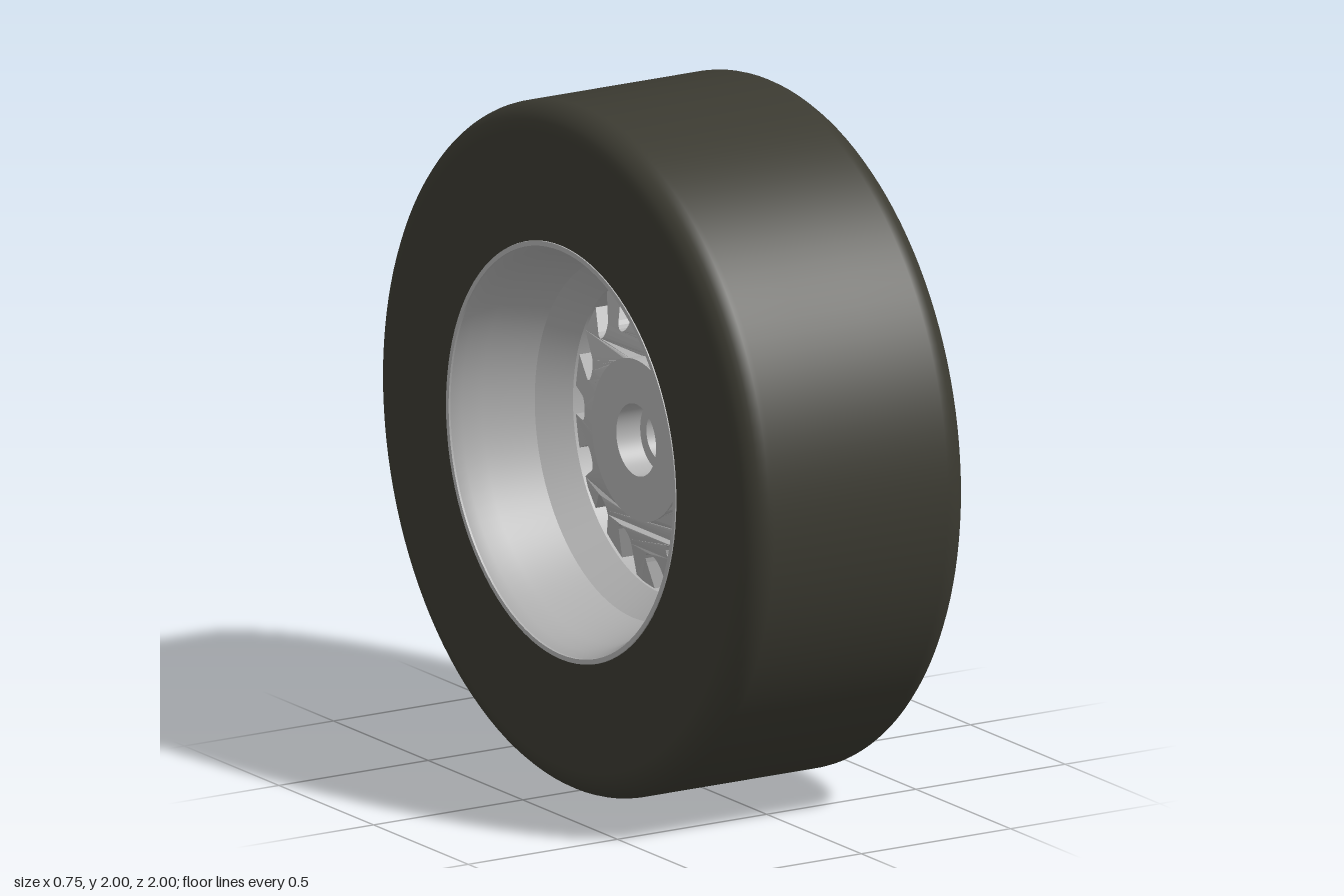
import * as THREE from 'three';

const mat = (name, color) => new THREE.MeshStandardMaterial({ name, color });

export function createModel() {
  const rubber = mat('tyreRubber', 0x3b3a31);
  const alloy = mat('silverAlloy', 0xb2b2b2);
  const black = mat('blackRubber', 0x24241f);
  const root = new THREE.Group();
  root.name = 'wheel';

  // Everything is built around local z (the axle); z becomes world x at the end.
  const wheel = new THREE.Group();
  wheel.name = 'wheelAssembly';
  wheel.rotation.y = Math.PI / 2;
  wheel.position.y = 1;
  root.add(wheel);

  const add = (name, geo, material, parent = wheel) => {
    const mesh = new THREE.Mesh(geo, material);
    mesh.name = name;
    parent.add(mesh);
    return mesh;
  };
  // Closed profile of [radius, axial] corners, counter-clockwise seen with radius to the right
  const lathe = (pts, segs = 96) =>
    new THREE.LatheGeometry(pts.map(([r, z]) => new THREE.Vector2(r, z)), segs).rotateX(Math.PI / 2);
  // Each straight piece gets its own lathe so that its edges stay crisp
  const crispLathe = (name, pts, material) => {
    const group = new THREE.Group();
    group.name = name;
    wheel.add(group);
    for (let i = 0; i < pts.length - 1; i++) add(name + 'Face', lathe([pts[i], pts[i + 1]]), material, group);
  };

  // Tyre: flat side walls with rounded shoulders
  const tyre = [[0.6, -0.37], [0.75, -0.37], [0.92, -0.37]];
  const arc = (sign) => {
    const out = [];
    for (let i = 0; i <= 8; i++) {
      const a = (i / 8) * Math.PI / 2;
      out.push([0.92 + 0.08 * Math.sin(a), sign * (0.29 + 0.08 * Math.cos(a))]);
    }
    return out;
  };
  tyre.push(...arc(-1).slice(1), [1, -0.1], [1, 0.1], ...arc(1).reverse(), [0.75, 0.37], [0.6, 0.37]);
  add('tyre', lathe(tyre, 128), rubber);

  // Rim: lips, dished barrel on both sides and the ring that carries the spokes
  crispLathe('rimLip', [[0.59, 0.365], [0.592, 0.373], [0.606, 0.373], [0.608, 0.366]].reverse(), alloy);
  crispLathe('rearRimLip', [[0.608, -0.366], [0.606, -0.373], [0.592, -0.373], [0.59, -0.365]].reverse(), alloy);
  add('frontBarrel', lathe([[0.592, 0.37], [0.572, 0.34], [0.545, 0.28], [0.53, 0.22], [0.518, 0.15]]), alloy);
  crispLathe('spokeRing', [[0.518, 0.15], [0.46, 0.135], [0.46, -0.04], [0.52, -0.13]], alloy);
  add('rearBarrel', lathe([[0.52, -0.13], [0.54, -0.2], [0.56, -0.28], [0.575, -0.34], [0.592, -0.37]]), alloy);

  // Spoke plate with sixteen round-ended windows, dished towards the back at the hub
  const count = 16, step = (Math.PI * 2) / count;
  const plate = new THREE.Shape().absarc(0, 0, 0.47, 0, Math.PI * 2);
  plate.holes.push(new THREE.Path().absarc(0, 0, 0.23, 0, Math.PI * 2, true));
  for (let k = 0; k < count; k++) {
    const a = k * step;
    const inner = k % 2 ? 0.31 : 0.34;
    const w = 0.036;
    const local = [[0.462, -0.042]];
    for (let i = 0; i <= 8; i++) {
      const t = -Math.PI / 2 - (i / 8) * Math.PI;
      local.push([inner + w + w * Math.cos(t), w * Math.sin(t)]);
    }
    local.push([0.462, 0.042]);
    plate.holes.push(new THREE.Path(local.map(([x, y]) => new THREE.Vector2(
      x * Math.cos(a) - y * Math.sin(a), x * Math.sin(a) + y * Math.cos(a)))));
  }
  const plateGeo = new THREE.ExtrudeGeometry(plate, { depth: 1, bevelEnabled: false, curveSegments: 64 });
  const p = plateGeo.attributes.position;
  for (let i = 0; i < p.count; i++) {
    const t = THREE.MathUtils.clamp((Math.hypot(p.getX(i), p.getY(i)) - 0.23) / 0.23, 0, 1);
    p.setZ(i, p.getZ(i) > 0.5 ? 0.04 : THREE.MathUtils.lerp(-0.12, -0.03, t));
  }
  plateGeo.computeVertexNormals();
  add('spokePlate', plateGeo, alloy);

  // Tapered block along +x: each end is [x, halfWidth, zBack, zFront]
  const taper = (a, b) => {
    const geo = new THREE.BoxGeometry(1, 1, 1);
    const q = geo.attributes.position;
    for (let i = 0; i < q.count; i++) {
      const [x, w, z0, z1] = q.getX(i) < 0 ? a : b;
      q.setXYZ(i, x, Math.sign(q.getY(i)) * w, q.getZ(i) < 0 ? z0 : z1);
    }
    geo.computeVertexNormals();
    return geo;
  };

  // Raised ribs between the windows
  const ribGeo = taper([0.16, 0.014, 0.0, 0.1], [0.465, 0.03, 0.0, 0.08]);
  for (let k = 0; k < count; k++) add('spokeRib', ribGeo, alloy).rotation.z = (k + 0.5) * step;

  // Hub with through bore, wider at the back
  crispLathe('hub', [
    [0.105, -0.04], [0.105, -0.12], [0.235, -0.12], [0.235, 0.04], [0.2, 0.05], [0.195, 0.115],
    [0.175, 0.115], [0.175, 0.14], [0.135, 0.14], [0.135, 0.24], [0.072, 0.24], [0.072, -0.04], [0.105, -0.04],
  ], alloy);

  // Three-eared spinner, ears leaning outwards
  const earGeo = taper([0.1, 0.045, 0.14, 0.239], [0.34, 0.02, 0.255, 0.31]);
  for (let k = 0; k < 3; k++) add('spinnerEar', earGeo, alloy).rotation.z = Math.PI / 2 + (k * Math.PI * 2) / 3;

  // Valve leaning in from the ring
  const valve = new THREE.Group();
  valve.name = 'valve';
  valve.position.set(0, 0.495, 0.145);
  valve.rotation.x = Math.PI / 2 + 0.5;
  wheel.add(valve);
  add('valveBase', new THREE.CylinderGeometry(0.02, 0.026, 0.06, 20), black, valve).position.y = 0.03;
  add('valveCap', new THREE.CylinderGeometry(0.02, 0.022, 0.06, 20), alloy, valve).position.y = 0.085;

  return root;
}
